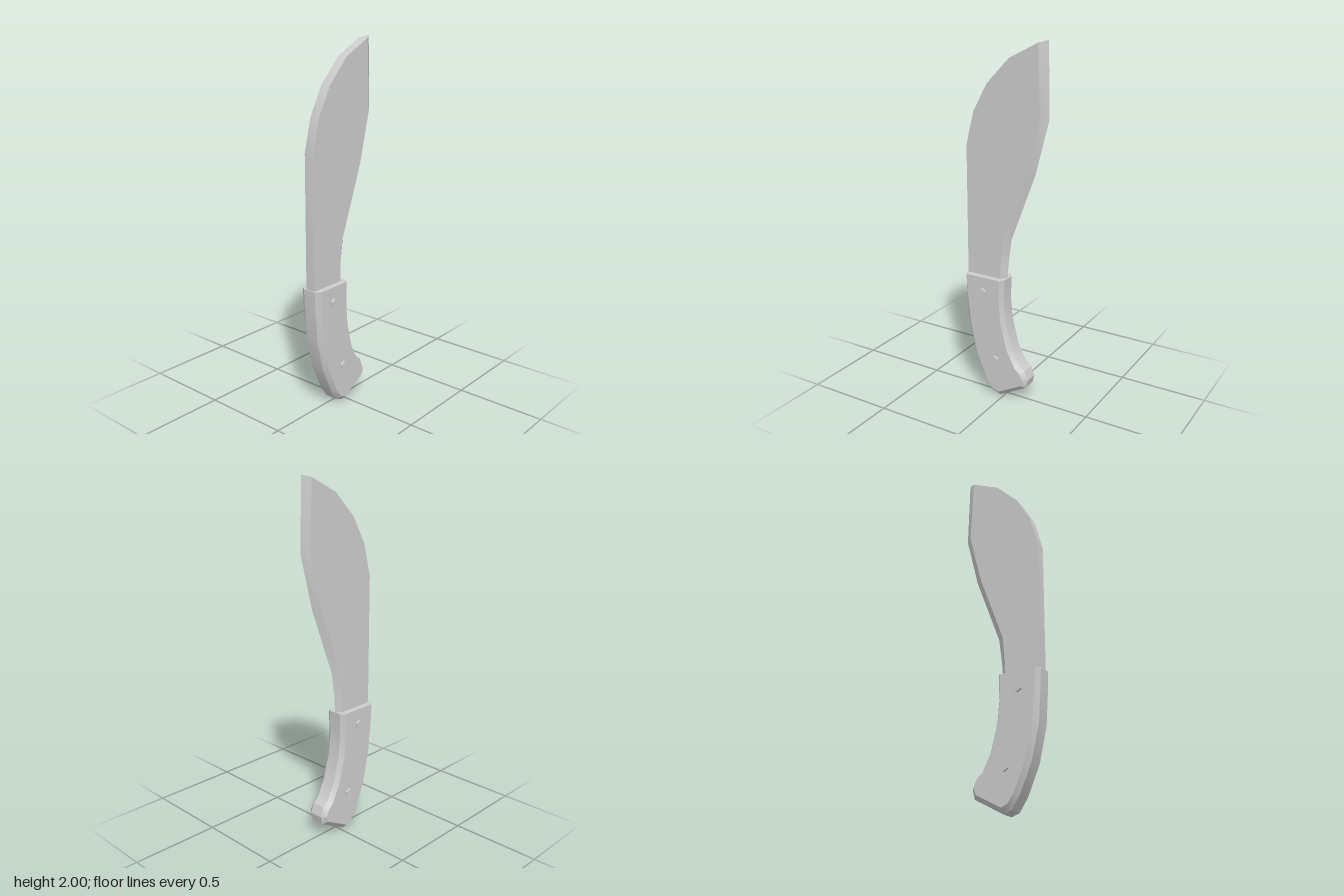
import * as THREE from 'three';
import { toCreasedNormals } from 'three/addons/utils/BufferGeometryUtils.js';

// Lofts matching [z, y] outlines across x; each layer is { x, pts }, counter-clockwise seen from +x.
function loft(layers) {
  const pos = [];
  const at = (l, i) => new THREE.Vector3(layers[l].x, layers[l].pts[i][1], layers[l].pts[i][0]);
  const tri = (a, b, c) => {
    const area = b.clone().sub(a).cross(c.clone().sub(a)).length();
    if (area > 1e-8) for (const p of [a, b, c]) pos.push(p.x, p.y, p.z);
  };
  const n = layers[0].pts.length;
  const last = layers.length - 1;
  // rim
  for (let l = 0; l < last; l++) {
    for (let i = 0; i < n; i++) {
      const j = (i + 1) % n;
      tri(at(l, i), at(l, j), at(l + 1, j));
      tri(at(l, i), at(l + 1, j), at(l + 1, i));
    }
  }
  // flat sides
  const flat = layers[0].pts.map(([z, y]) => new THREE.Vector2(-z, y));
  for (const f of THREE.ShapeUtils.triangulateShape(flat, [])) {
    const [a, b, c] = THREE.ShapeUtils.area(f.map(i => flat[i])) > 0 ? f : [f[0], f[2], f[1]];
    tri(at(last, a), at(last, b), at(last, c));
    tri(at(0, a), at(0, c), at(0, b));
  }
  const geo = new THREE.BufferGeometry();
  geo.setAttribute('position', new THREE.Float32BufferAttribute(pos, 3));
  return toCreasedNormals(geo, 0.5);
}

export function createModel() {
  const group = new THREE.Group();
  group.name = 'machete';
  const grey = new THREE.MeshStandardMaterial({ name: 'grey', color: 0xcccccc });
  const add = (name, geo) => {
    const mesh = new THREE.Mesh(geo, grey);
    mesh.name = name;
    group.add(mesh);
    return mesh;
  };

  // Blade: thick spine at the front, wedge ground to a sharp edge at the back
  const spine = [[-0.19, 1.988], [-0.025, 1.905], [0.107, 1.77], [0.19, 1.62], [0.236, 1.44], [0.236, 0.69]];
  const bevel = [[0.025, 0.69], [0.026, 0.8], [0.012, 0.94], [-0.132, 1.325], [-0.206, 1.615], [-0.19, 1.988]];
  const edge = [[0.0, 0.69], [-0.008, 0.8], [-0.026, 0.94], [-0.17, 1.325], [-0.244, 1.615], [-0.234, 2.0]];
  const side = [...spine, ...bevel];
  add('blade', loft([
    { x: -0.028, pts: side },
    { x: 0, pts: [...spine, ...edge] },
    { x: 0.028, pts: side },
  ]));

  // Handle: curved grip with chamfered long edges and a flared butt
  const outer = [[0.244, 0.715], [0.241, 0.62], [0.228, 0.43], [0.185, 0.245], [0.117, 0.09], [0.069, 0.02], [0.024, 0.004],
    [-0.143, 0.095], [-0.155, 0.143], [-0.134, 0.196], [-0.1, 0.223], [-0.05, 0.318], [-0.012, 0.467], [0, 0.59], [-0.005, 0.715]];
  const inner = [[0.226, 0.715], [0.222, 0.62], [0.203, 0.43], [0.164, 0.253], [0.1, 0.103], [0.063, 0.048], [0.024, 0.032],
    [-0.122, 0.111], [-0.132, 0.143], [-0.115, 0.184], [-0.086, 0.207], [-0.031, 0.312], [0.007, 0.465], [0.018, 0.59], [0.014, 0.715]];
  add('handle', loft([
    { x: -0.063, pts: inner },
    { x: -0.038, pts: outer },
    { x: 0.038, pts: outer },
    { x: 0.063, pts: inner },
  ]));

  // Hexagonal rivets running through the handle
  const rivet = toCreasedNormals(
    new THREE.CylinderGeometry(0.028, 0.028, 0.152, 6).rotateY(Math.PI / 6).rotateZ(Math.PI / 2), 0.5);
  for (const [name, y, z] of [['upperRivet', 0.625, 0.123], ['lowerRivet', 0.23, 0.043]]) {
    add(name, rivet).position.set(0, y, z);
  }
  return group;
}
